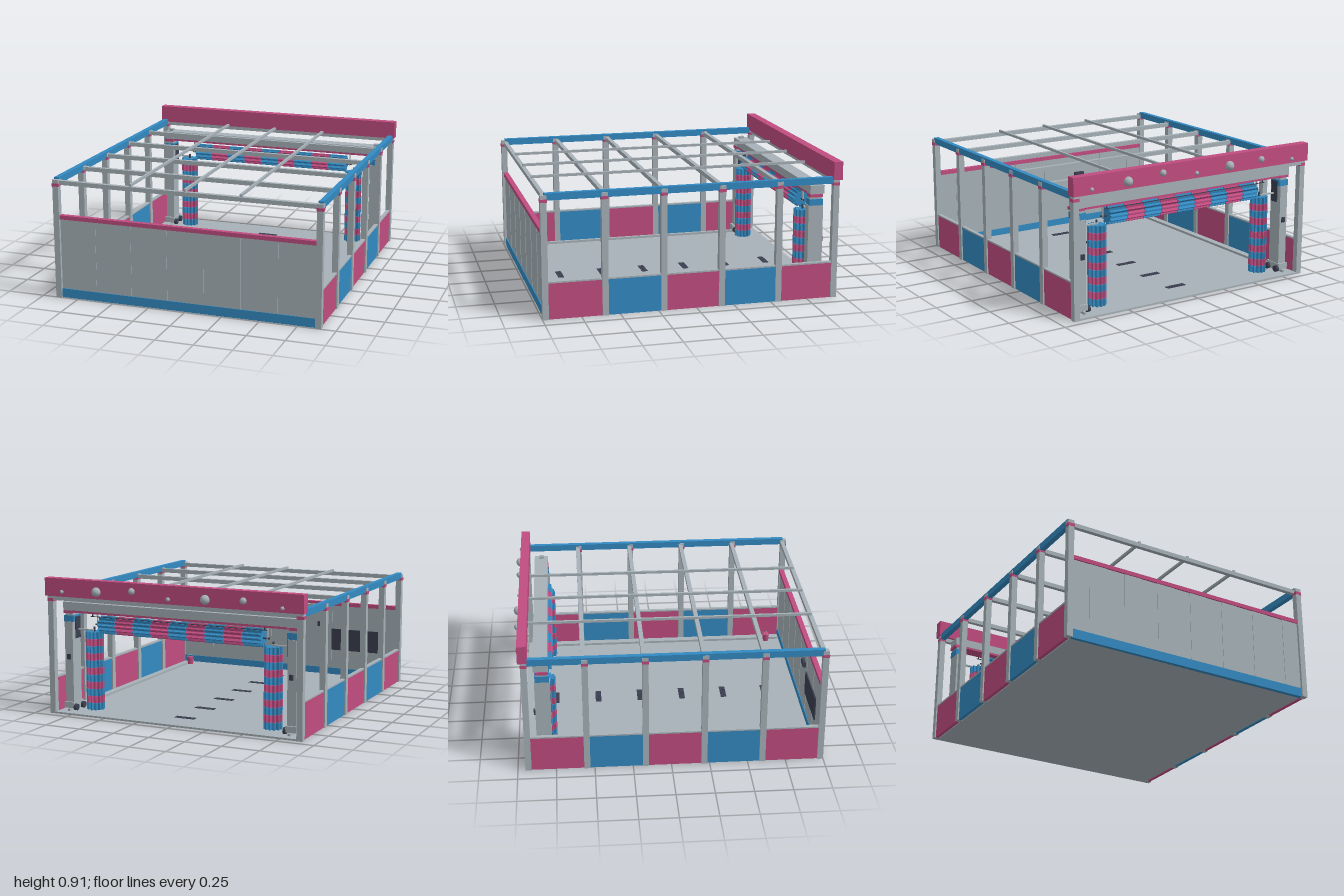
import * as THREE from 'three';

const mat = (name, color) => {
  const m = new THREE.MeshStandardMaterial({ color });
  m.name = name;
  return m;
};

export function createModel() {
  const grey = mat('galvanised grey', 0xa6b1b7);
  const pink = mat('pink', 0xc04c80);
  const blue = mat('blue', 0x338ac2);
  const dark = mat('dark slate', 0x3a3f50);
  const root = new THREE.Group();
  root.name = 'carWash';

  const add = (name, geo, m, x = 0, y = 0, z = 0, parent = root) => {
    const mesh = new THREE.Mesh(geo, m);
    mesh.name = name;
    mesh.position.set(x, y, z);
    parent.add(mesh);
    return mesh;
  };
  // Box given by its minimum and maximum on each axis
  const box = (name, m, x0, x1, y0, y1, z0, z1, parent = root) =>
    add(name, new THREE.BoxGeometry(x1 - x0, y1 - y0, z1 - z0), m,
      (x0 + x1) / 2, (y0 + y1) / 2, (z0 + z1) / 2, parent);
  // Box on both sides of x = 0
  const pair = (name, m, x0, x1, y0, y1, z0, z1, parent = root) => {
    box(name, m, x0, x1, y0, y1, z0, z1, parent);
    box(name, m, -x1, -x0, y0, y1, z0, z1, parent);
  };

  // Floor, drains and gantry rails
  box('floor', grey, -0.866, 0.866, 0, 0.012, -0.95, 0.965);
  for (let i = 0; i < 6; i++) {
    const z = 0.735 - i * 0.296;
    for (let k = 0; k < 7; k++) {
      const x = (k - 3) * 0.0205;
      box('drainSlat', dark, x - 0.009, x + 0.009, 0.011, 0.015, z - 0.02, z + 0.02);
    }
  }
  pair('floorRail', grey, 0.785, 0.802, 0.012, 0.028, -0.9, 0.95);

  // Posts with collars, side panels and cross beams
  const posts = [0.98, 0.597, 0.215, -0.167, -0.549, -0.931];
  posts.forEach((z, i) => {
    pair('post', grey, 0.865, 0.905, 0, 0.76, z - 0.02, z + 0.02);
    pair('postCollar', pink, 0.862, 0.908, 0.756, 0.776, z - 0.022, z + 0.022);
    pair('postCap', grey, 0.864, 0.906, 0.776, 0.8, z - 0.02, z + 0.02);
    const bz = z - (i ? 0.008 : 0.01);
    box('crossBeam', grey, -0.87, 0.87, 0.765, 0.793, bz - 0.014, bz + 0.014);
    if (i < 5) {
      const z0 = posts[i + 1] + 0.02, z1 = z - 0.02;
      pair('sidePanel', i % 2 ? blue : pink, 0.874, 0.896, 0, 0.235, z0, z1);
      pair('sidePanelCap', grey, 0.872, 0.898, 0.235, 0.245, z0, z1);
    }
  });

  // Roof rails and purlins
  pair('roofRail', blue, 0.868, 0.902, 0.768, 0.812, -0.91, 0.975);
  for (const x of [-0.37, 0, 0.37])
    box('purlin', grey, x - 0.008, x + 0.008, 0.793, 0.81, -0.91, 0.975);

  // End wall of slightly stepped boards, with plinth and top trim
  const boards = 14, bw = 1.73 / boards;
  for (let i = 0; i < boards; i++) {
    const x = -0.865 + i * bw, d = i % 2 ? 0.003 : 0;
    box('wallBoard', grey, x, x + bw, 0.06, 0.535, 0.965 + d, 0.981 + d);
  }
  box('wallPlinth', blue, -0.866, 0.866, 0, 0.06, 0.961, 0.988);
  box('wallTrim', pink, -0.866, 0.866, 0.535, 0.562, 0.958, 0.991);

  // Screen and small sign box inside the end wall
  box('wallScreen', dark, -0.74, -0.37, 0.2, 0.36, 0.957, 0.966);
  box('wallBox', dark, -0.335, -0.26, 0.375, 0.41, 0.945, 0.966);

  // Entrance fascia with bubbles
  box('fascia', pink, -0.915, 0.915, 0.793, 0.912, -0.967, -0.907);
  const bubbles = [[-0.775, 0.82, 0.013], [-0.515, 0.85, 0.022], [-0.255, 0.84, 0.031],
    [0.005, 0.825, 0.014], [0.265, 0.86, 0.022], [0.525, 0.84, 0.031], [0.785, 0.825, 0.013]];
  for (const [x, y, r] of bubbles)
    add('bubble', new THREE.SphereGeometry(r, 16, 12), grey, x, y, -0.969);

  // Bucket
  add('bucket', new THREE.CylinderGeometry(0.025, 0.021, 0.055, 20), pink, 0.77, 0.04, 0.86);
  const handle = add('bucketHandle', new THREE.TorusGeometry(0.023, 0.002, 6, 16, Math.PI), grey, 0.77, 0.065, 0.86);
  handle.rotation.y = 0.6;

  // Washing gantry
  const gantry = new THREE.Group();
  gantry.name = 'gantry';
  root.add(gantry);
  pair('gantryFoot', grey, 0.764, 0.836, 0.03, 0.07, -0.885, -0.755, gantry);
  pair('gantryColumn', grey, 0.77, 0.83, 0.07, 0.612, -0.871, -0.771, gantry);
  pair('columnCollar', blue, 0.764, 0.836, 0.612, 0.654, -0.867, -0.775, gantry);
  pair('columnHead', grey, 0.775, 0.828, 0.654, 0.69, -0.862, -0.78, gantry);
  pair('headBand', pink, 0.772, 0.842, 0.668, 0.688, -0.864, -0.778, gantry);
  pair('headBlock', grey, 0.77, 0.835, 0.688, 0.745, -0.876, -0.78, gantry);
  pair('headStud', grey, 0.785, 0.815, 0.745, 0.762, -0.842, -0.808, gantry);
  box('gantryBeam', grey, -0.77, 0.77, 0.69, 0.745, -0.876, -0.782, gantry);
  box('beamStripe', pink, -0.77, 0.77, 0.676, 0.69, -0.874, -0.784, gantry);
  box('sprayBar', dark, -0.63, 0.63, 0.657, 0.661, -0.87, -0.864, gantry);
  pair('sprayBarHanger', dark, 0.612, 0.618, 0.66, 0.68, -0.87, -0.864, gantry);
  pair('sidePlate', dark, 0.757, 0.762, 0.5, 0.645, -0.85, -0.79, gantry);
  pair('controlBox', dark, 0.785, 0.81, 0.36, 0.395, -0.882, -0.87, gantry);
  for (const s of [-1, 1]) for (const z of [-0.865, -0.775]) {
    const wheel = add('wheel', new THREE.CylinderGeometry(0.022, 0.022, 0.02, 16), dark, s * 0.755, 0.036, z, gantry);
    wheel.rotation.z = Math.PI / 2;
  }

  // Star-shaped brush segment of a given length, centred on its axis
  const flaps = 12;
  const star = new THREE.Shape(Array.from({ length: flaps * 4 }, (_, i) => {
    const r = i % 4 < 2 ? 0.06 : 0.044;
    const a = (Math.floor(i / 2) + (i % 2 ? 0.22 : -0.22)) * Math.PI / flaps;
    return new THREE.Vector2(r * Math.cos(a), r * Math.sin(a));
  }));
  const segment = (len) => {
    const g = new THREE.ExtrudeGeometry(star, { depth: len, bevelEnabled: false });
    return g.translate(0, 0, -len / 2);
  };

  // Horizontal brush
  const rollGeo = segment(0.126).rotateY(Math.PI / 2);
  for (let i = 0; i < 9; i++)
    add('topBrushSegment', rollGeo, i % 2 ? pink : blue, (i - 4) * 0.13, 0.6, -0.812, gantry);
  add('topBrushShaft', new THREE.CylinderGeometry(0.006, 0.006, 1.25, 10).rotateZ(Math.PI / 2),
    dark, 0, 0.598, -0.812, gantry);
  pair('topBrushHanger', grey, 0.607, 0.614, 0.59, 0.68, -0.818, -0.806, gantry);

  // Vertical brushes
  const bandGeo = segment(0.046).rotateX(-Math.PI / 2);
  for (const s of [-1, 1]) {
    for (let i = 0; i < 11; i++)
      add('sideBrushSegment', bandGeo, i % 2 ? pink : blue, s * 0.645, 0.045 + i * 0.048, -0.797, gantry);
    add('sideBrushShaft', new THREE.CylinderGeometry(0.007, 0.007, 0.56, 10), dark, s * 0.645, 0.297, -0.797, gantry);
  }
  pair('sideBrushArm', grey, 0.645, 0.78, 0.553, 0.562, -0.82, -0.805, gantry);

  return root;
}
